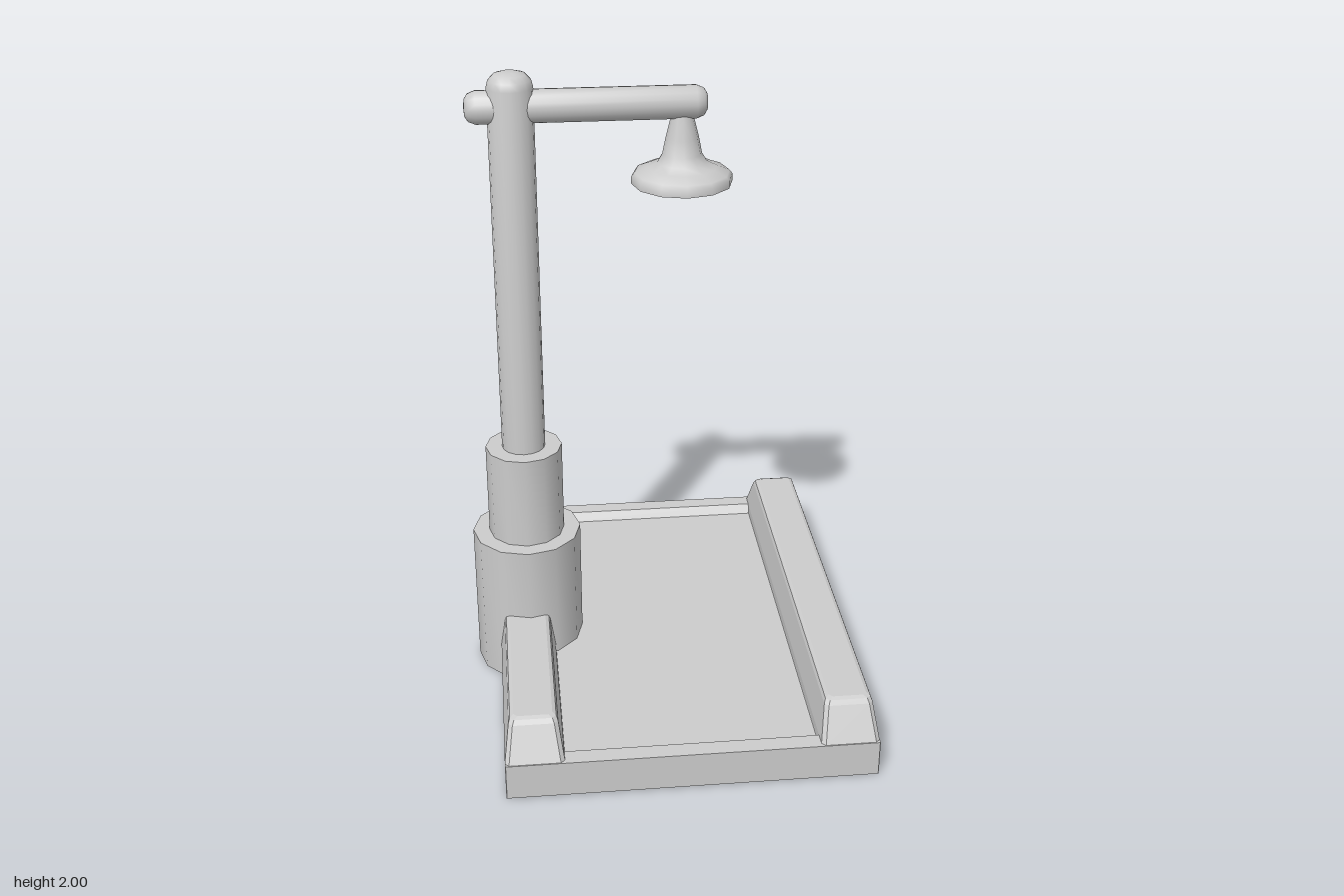
import * as THREE from 'three';
import { toCreasedNormals } from 'three/addons/utils/BufferGeometryUtils.js';

const material = new THREE.MeshStandardMaterial({ color: 0xcccccc });
const AXIS_Z = -0.011; // depth of the post, arm and shower head
const POST_X = -0.43;

function addPart(group, name, geometry, x = 0, y = 0, z = 0) {
  const mesh = new THREE.Mesh(geometry, material);
  mesh.name = name;
  mesh.position.set(x, y, z);
  group.add(mesh);
  return mesh;
}

// Turned solid from [radius, y] pairs, bottom to top along the outside
function turned(points, sides = 12, crease = 0.9) {
  const profile = points.map(([r, y]) => new THREE.Vector2(r, y));
  return toCreasedNormals(new THREE.LatheGeometry(profile, sides), crease);
}

// Solid lofted through rectangular rings [halfX, y, halfZ] with clipped corners
function loft(rings, clip) {
  const outline = ([hx, y, hz]) => [
    [hx, hz - clip], [hx, clip - hz], [hx - clip, -hz], [clip - hx, -hz],
    [-hx, clip - hz], [-hx, hz - clip], [clip - hx, hz], [hx - clip, hz],
  ].map(([x, z]) => [x, y, z]);
  const loops = rings.map(outline);
  const positions = [];
  const triangle = (a, b, c) => positions.push(...a, ...b, ...c);
  for (let k = 0; k < loops.length - 1; k++) {
    for (let i = 0; i < 8; i++) {
      const j = (i + 1) % 8;
      const [a, b, c, d] = [loops[k][i], loops[k][j], loops[k + 1][j], loops[k + 1][i]];
      triangle(a, b, c);
      triangle(a, c, d);
    }
  }
  const bottom = loops[0];
  const top = loops[loops.length - 1];
  for (let i = 1; i < 7; i++) {
    triangle(bottom[0], bottom[i + 1], bottom[i]);
    triangle(top[0], top[i], top[i + 1]);
  }
  const geometry = new THREE.BufferGeometry();
  geometry.setAttribute('position', new THREE.Float32BufferAttribute(positions, 3));
  geometry.computeVertexNormals();
  return geometry;
}

export function createModel() {
  const model = new THREE.Group();
  model.name = 'showerStand';

  // Tray with a shallow sunken floor
  addPart(model, 'tray', loft([
    [0.565, 0.003, 0.76], [0.565, 0.12, 0.76],
    [0.395, 0.12, 0.705], [0.385, 0.09, 0.685],
  ], 0.002), 0.035);

  // Tapered rails along both sides
  const rail = loft([
    [0.089, 0.085, 0.757], [0.089, 0.12, 0.757], [0.074, 0.222, 0.7],
    [0.069, 0.235, 0.69], [0.058, 0.24, 0.678],
  ], 0.012);
  addPart(model, 'rightRail', rail, -0.441);
  addPart(model, 'leftRail', rail, 0.51);

  // Stepped pedestal
  addPart(model, 'pedestal', turned([
    [0, 0], [0.175, 0], [0.175, 0.48], [0, 0.48],
  ]), POST_X, 0, AXIS_Z);
  addPart(model, 'collar', turned([
    [0, 0.47], [0.122, 0.47], [0.122, 0.785], [0, 0.785],
  ]), POST_X, 0, AXIS_Z);

  // Post with a domed top
  addPart(model, 'post', turned([
    [0, 0.77], [0.069, 0.77], [0.069, 1.955], [0.063, 1.977],
    [0.048, 1.993], [0.025, 2], [0, 2],
  ], 16), POST_X, 0, AXIS_Z);

  // Horizontal arm with rounded ends
  const half = 0.358;
  const end = [[0, half], [0.025, half - 0.002], [0.041, half - 0.012], [0.05, half - 0.034]];
  const arm = addPart(model, 'arm', turned([
    ...end.map(([r, y]) => [r, -y]), ...end.slice().reverse(),
  ], 16), -0.208, 1.897, AXIS_Z);
  arm.rotation.z = Math.PI / 2;

  // Bell-shaped shower head with a recessed face
  addPart(model, 'showerHead', turned([
    [0, 1.668], [0.122, 1.668], [0.13, 1.65], [0.153, 1.65], [0.153, 1.672],
    [0.144, 1.684], [0.105, 1.7], [0.075, 1.715], [0.06, 1.74],
    [0.05, 1.79], [0.035, 1.85], [0.03, 1.88], [0, 1.88],
  ]), 0.075, 0, AXIS_Z);

  return model;
}
